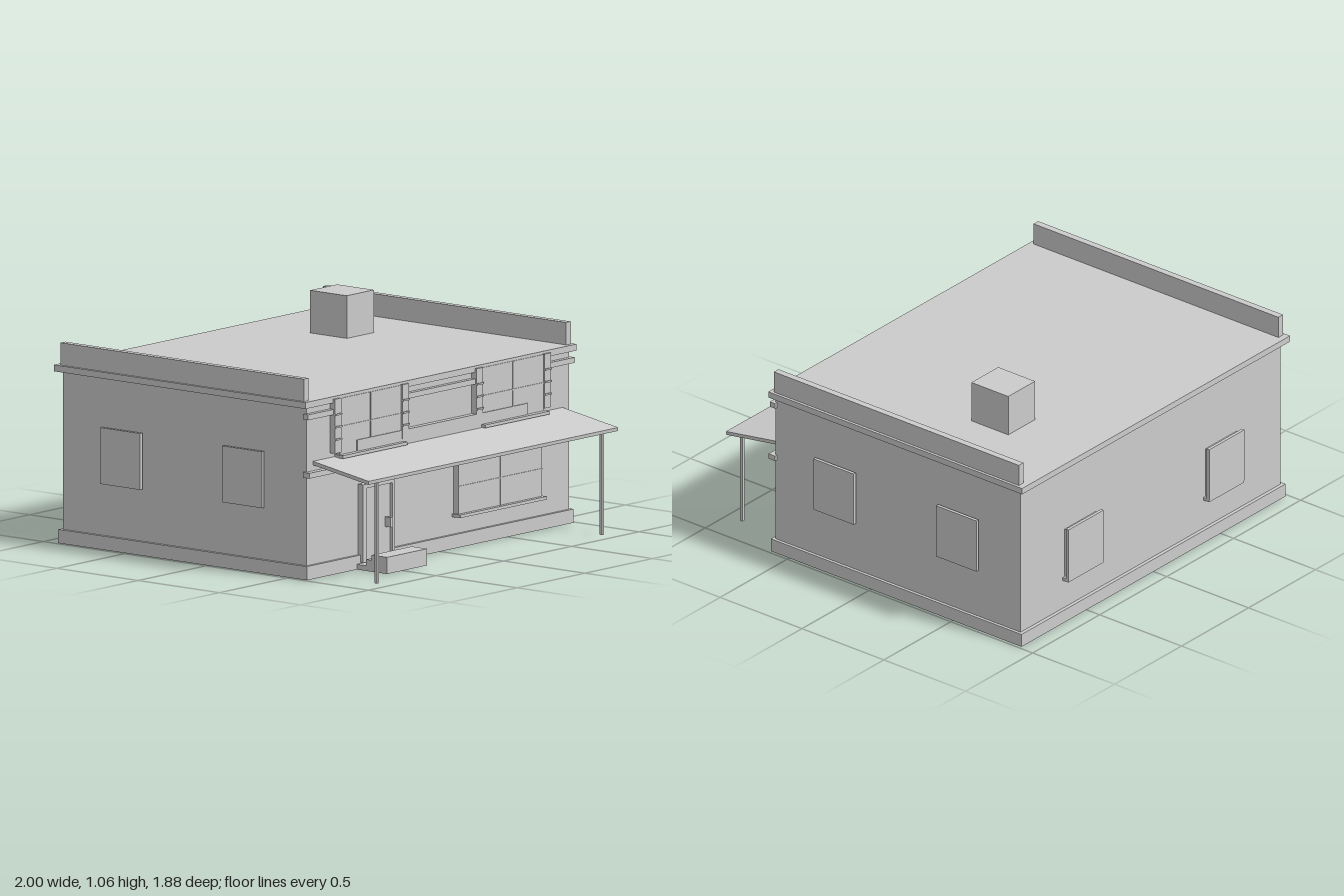
import * as THREE from 'three';

export function createModel() {
  const model = new THREE.Group();
  model.name = 'shopHouse';
  const material = new THREE.MeshStandardMaterial({ color: 0xcccccc, flatShading: true });

  // Box given by its low and high limits on each axis
  function block(name, x0, x1, y0, y1, z0, z1, parent = model) {
    const mesh = new THREE.Mesh(new THREE.BoxGeometry(x1 - x0, y1 - y0, z1 - z0), material);
    mesh.position.set((x0 + x1) / 2, (y0 + y1) / 2, (z0 + z1) / 2);
    mesh.name = name;
    parent.add(mesh);
    return mesh;
  }

  // Front window: pane, crossing glazing bars and a projecting sill
  function frontWindow(name, x0, x1, y0, y1, z) {
    const g = new THREE.Group();
    g.name = name;
    const cx = (x0 + x1) / 2, cy = (y0 + y1) / 2, t = 0.003;
    block('pane', x0, x1, y0, y1, 0.58, z, g);
    block('uprightBar', cx - t, cx + t, y0, y1, z - 0.005, z + 0.004, g);
    block('crossBar', x0, x1, cy - t, cy + t, z - 0.005, z + 0.004, g);
    block('sill', x0 - 0.012, x1 + 0.012, y0 - 0.013, y0 + 0.002, 0.58, 0.647, g);
    model.add(g);
  }

  // Main masses
  block('walls', -0.97, 0.97, 0.02, 0.84, -0.902, 0.595);
  block('plinth', -0.985, 0.985, 0, 0.066, -0.92, 0.61);
  block('roofSlab', -1, 1, 0.826, 0.857, -0.935, 0.615);
  block('chimney', 0.42, 0.62, 0.85, 1.062, -0.54, -0.315);

  // Moulding bands across the front
  block('lowerBand', -0.985, 0.985, 0.49, 0.516, 0.585, 0.625);
  block('upperBand', -0.985, 0.985, 0.77, 0.796, 0.585, 0.618);

  // Sides: parapets, windows and porch posts
  for (const s of [-1, 1]) {
    const side = (name, a, b, ...rest) => block(name, Math.min(s * a, s * b), Math.max(s * a, s * b), ...rest);
    side('parapet', 0.952, 0.986, 0.85, 0.965, -0.904, 0.592);
    side('porchPost', 0.823, 0.839, 0, 0.5, 0.904, 0.92);
    for (const z of [0.22, -0.53]) {
      side('sideWindowPane', 0.96, 0.981, 0.33, 0.573, z - 0.11, z + 0.11);
      side('sideWindowFrame', 0.98, 0.996, 0.317, 0.588, z - 0.123, z + 0.123);
    }
    // Rear windows
    const x = s * 0.525;
    block('rearWindowPane', x - 0.117, x + 0.117, 0.235, 0.483, -0.924, -0.89);
    block('rearWindowFrame', x - 0.131, x + 0.131, 0.226, 0.496, -0.938, -0.922);
    block('rearSill', x - 0.131, x + 0.131, 0.215, 0.23, -0.937, -0.89);
  }

  // Upper windows with slatted shutters
  for (const s of [-1, 1]) {
    frontWindow(s < 0 ? 'upperRightWindow' : 'upperLeftWindow', s * 0.525 - 0.225, s * 0.525 + 0.225, 0.57, 0.842, 0.619);
    for (const c of [0.274, 0.774]) {
      const x = s * c;
      block('shutter', x - 0.024, x + 0.024, 0.584, 0.845, 0.58, 0.626);
      for (const y of [0.65, 0.71, 0.77]) block('shutterRail', x - 0.024, x + 0.024, y - 0.004, y + 0.004, 0.62, 0.632);
    }
  }
  block('signBoard', -0.628, 0.628, 0.53, 0.626, 0.59, 0.624);

  // Ground floor shop window
  frontWindow('shopWindow', 0.116, 0.732, 0.163, 0.43, 0.626);

  // Door, surround and handle
  block('door', -0.57, -0.368, 0.04, 0.388, 0.58, 0.612);
  block('doorJamb', -0.59, -0.566, 0.03, 0.405, 0.58, 0.627);
  block('doorJamb', -0.372, -0.353, 0.03, 0.405, 0.58, 0.627);
  block('doorHead', -0.59, -0.353, 0.385, 0.405, 0.58, 0.627);
  block('doorHandle', -0.412, -0.4, 0.178, 0.226, 0.605, 0.648);

  // Doorstep, stepped in profile and swept across the door
  const step = new THREE.Shape([
    [0.6, 0], [0.795, 0], [0.795, 0.08], [0.7, 0.08], [0.7, 0.055], [0.665, 0.055], [0.665, 0.025], [0.6, 0.025],
  ].map(([z, y]) => new THREE.Vector2(z, y)));
  // Porch roof, a sloping slab in profile
  const porch = new THREE.Shape([
    [0.585, 0.545], [0.935, 0.488], [0.937, 0.505], [0.585, 0.563],
  ].map(([z, y]) => new THREE.Vector2(z, y)));

  // Sweep a z-y profile from x1 down to x0
  function sweep(name, shape, x0, x1) {
    const geometry = new THREE.ExtrudeGeometry(shape, { depth: x1 - x0, bevelEnabled: false });
    geometry.rotateY(-Math.PI / 2);
    const mesh = new THREE.Mesh(geometry, material);
    mesh.position.x = x1;
    mesh.name = name;
    model.add(mesh);
  }
  sweep('doorstep', step, -0.615, -0.32);
  sweep('porchRoof', porch, -0.922, 0.922);

  return model;
}
